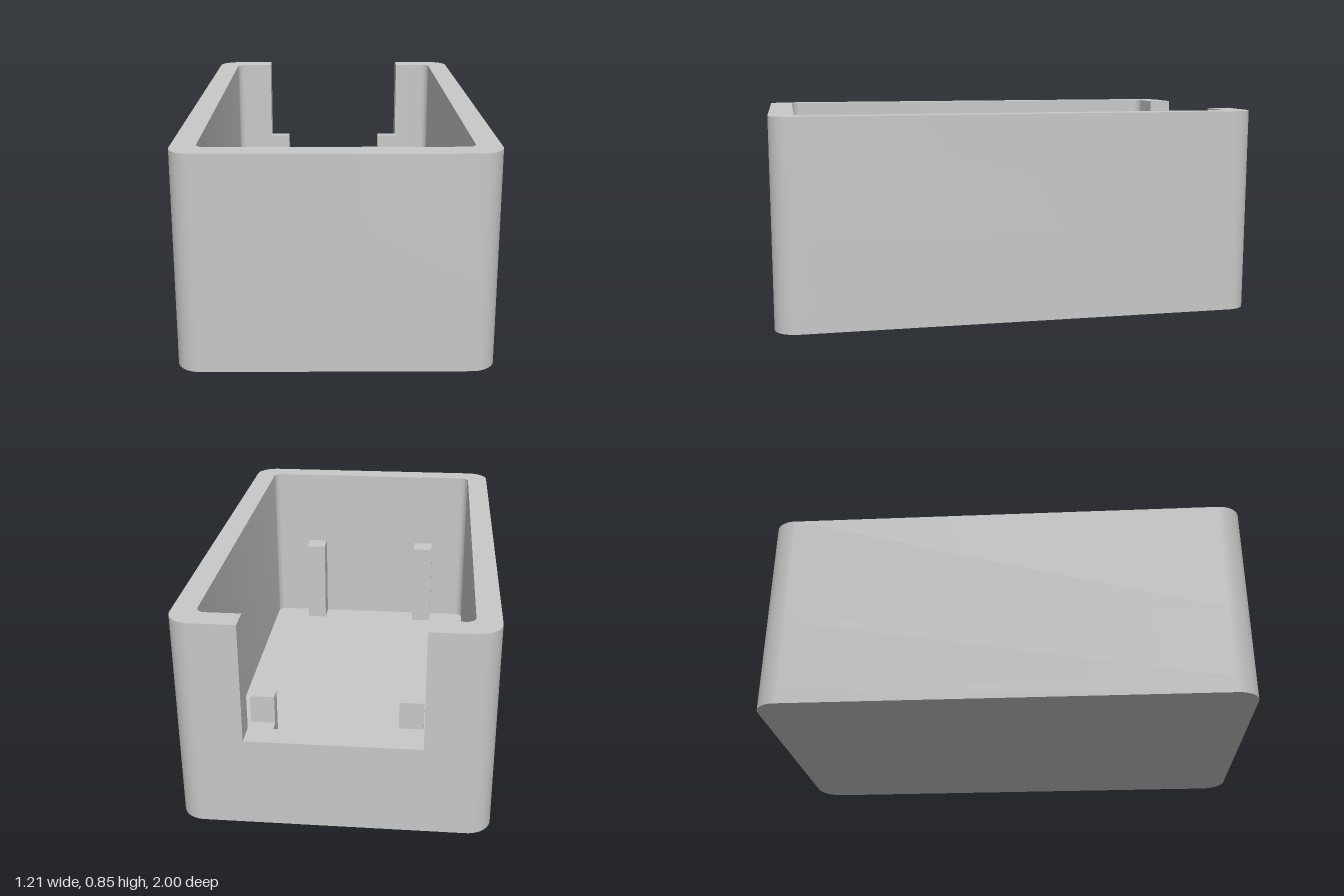
import * as THREE from 'three';
import { mergeGeometries, toCreasedNormals } from 'three/addons/utils/BufferGeometryUtils.js';

const W = 0.607, D = 1, H = 0.85;          // outer half width, half depth, height
const IW = 0.512, ID = 0.9;                // inner half width, half depth
const FLOOR = 0.065, SILL = 0.367, NOTCH = 0.34, POST = 0.48;

// Clockwise rounded rectangle, starting at the back right corner (shape y = -z)
function roundRect(w, d, r, steps = 12) {
  const pts = [];
  [[1, 1], [1, -1], [-1, -1], [-1, 1]].forEach(([sx, sy], i) => {
    for (let k = 0; k <= steps; k++) {
      const a = Math.PI / 2 * (1 - i - k / steps);
      pts.push(new THREE.Vector2(sx * (w - r) + r * Math.cos(a), sy * (d - r) + r * Math.sin(a)));
    }
  });
  return pts;
}

// Upright extrusion from y0 to y1, leaving out the caps buried inside the shell
function upright(shape, y0, y1, bottom, top) {
  const g = new THREE.ExtrudeGeometry(shape, { depth: y1 - y0, bevelEnabled: false });
  g.rotateX(-Math.PI / 2).translate(0, y0, 0);
  const p = g.attributes.position.array, kept = [];
  for (let i = 0; i < p.length; i += 9) {
    const ys = [p[i + 1], p[i + 4], p[i + 7]];
    const onBottom = ys.every(y => Math.abs(y - y0) < 1e-4);
    const onTop = ys.every(y => Math.abs(y - y1) < 1e-4);
    if ((onBottom && !bottom) || (onTop && !top)) continue;
    for (let k = 0; k < 9; k++) kept.push(p[i + k]);
  }
  const out = new THREE.BufferGeometry();
  out.setAttribute('position', new THREE.Float32BufferAttribute(kept, 3));
  out.computeVertexNormals();
  return out;
}

// Flat horizontal face
function flat(shape, y) {
  const g = new THREE.ShapeGeometry(shape).toNonIndexed();
  g.deleteAttribute('uv');
  return g.rotateX(-Math.PI / 2).translate(0, y, 0);
}

export function createModel() {
  const model = new THREE.Group();
  model.name = 'openBox';
  const grey = new THREE.MeshStandardMaterial({ color: 0xc8c8c8 });
  grey.name = 'grey';
  const add = (name, geometry) => {
    const mesh = new THREE.Mesh(geometry, grey);
    mesh.name = name;
    model.add(mesh);
    return mesh;
  };
  const v = (x, y) => new THREE.Vector2(x, y);
  const outer = roundRect(W, D, 0.095);
  const inner = roundRect(IW, ID, 0.037).reverse();   // counter-clockwise, so it faces inward

  // Base and walls: closed ring up to the sill, then a U open at the back
  const ring = new THREE.Shape(outer);
  ring.holes.push(new THREE.Path(inner));
  const openRing = new THREE.Shape([
    v(NOTCH, D), ...outer, v(-NOTCH, D), v(-NOTCH, ID), ...inner, v(NOTCH, ID),
  ]);
  const sill = new THREE.Shape([v(-NOTCH, ID), v(NOTCH, ID), v(NOTCH, D), v(-NOTCH, D)]);
  const shell = mergeGeometries([
    upright(new THREE.Shape(outer), 0, FLOOR, true, false),
    upright(ring, FLOOR, SILL, false, false),
    upright(openRing, SILL, H, false, true),
    flat(new THREE.Shape(inner), FLOOR),
    flat(sill, SILL),
  ]);
  add('shell', toCreasedNormals(shell, 0.5));

  // Support posts; the back pair is stepped down to the sill
  const postWidth = 0.095, postX = 0.288;
  const stepped = new THREE.Shape([
    v(-ID, FLOOR), v(-0.802, FLOOR), v(-0.802, POST), v(-0.855, POST), v(-0.855, SILL), v(-ID, SILL),
  ]);
  for (const [side, s] of [['left', 1], ['right', -1]]) {
    const front = add(side + 'FrontPost', new THREE.BoxGeometry(postWidth, POST - FLOOR, ID - 0.802));
    front.position.set(s * postX, (POST + FLOOR) / 2, (ID + 0.802) / 2);

    const g = new THREE.ExtrudeGeometry(stepped, { depth: postWidth, bevelEnabled: false });
    g.translate(0, 0, -postWidth / 2).rotateY(-Math.PI / 2);
    const back = add(side + 'BackPost', g);
    back.position.x = s * postX;
  }
  return model;
}
